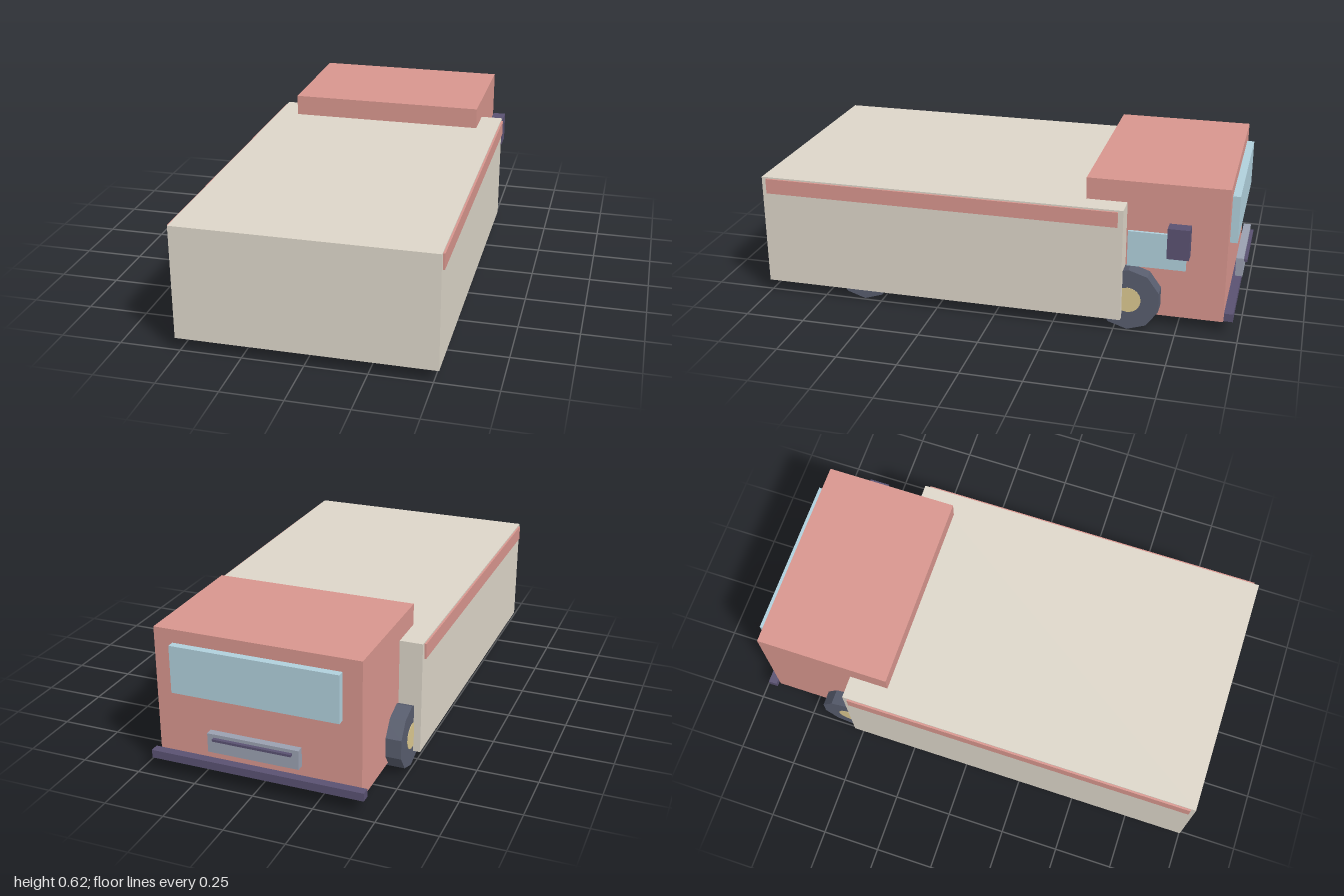
import * as THREE from 'three';

const material = (color) => new THREE.MeshStandardMaterial({ color, flatShading: true });
const red = material(0xd8968e);
const cream = material(0xddd6c9);
const glass = material(0xb0d0dc);
const rubber = material(0x585d6e);
const hubYellow = material(0xdcc890);
const dark = material(0x5a5272);
const metal = material(0x9aa0b0);

// Box given by its [min, max] range along each axis
function block(name, mat, [x0, x1], [y0, y1], [z0, z1]) {
  const mesh = new THREE.Mesh(new THREE.BoxGeometry(x1 - x0, y1 - y0, z1 - z0), mat);
  mesh.position.set((x0 + x1) / 2, (y0 + y1) / 2, (z0 + z1) / 2);
  mesh.name = name;
  return mesh;
}

// Disc with its axle along x
function disc(name, mat, radius, width, sides) {
  const geometry = new THREE.CylinderGeometry(radius, radius, width, sides).rotateZ(Math.PI / 2);
  if (sides === 10) geometry.rotateX(Math.PI / 2); // a flat side rests on the ground
  const mesh = new THREE.Mesh(geometry, mat);
  mesh.name = name;
  return mesh;
}

function wheel(name, side, z) {
  const group = new THREE.Group();
  group.name = name;
  const hub = disc('hub', hubYellow, 0.054, 0.03, 16);
  hub.position.x = side * 0.032;
  group.add(disc('tyre', rubber, 0.1315, 0.09, 10), hub);
  group.position.set(side * 0.445, 0.125, z);
  return group;
}

export function createModel() {
  const model = new THREE.Group();
  model.name = 'boxTruck';

  // Cargo box and cab
  model.add(
    block('cargoBox', cream, [-0.52, 0.52], [0.045, 0.52], [-0.531, 1]),
    block('cab', red, [-0.425, 0.425], [0.04, 0.61], [-0.935, -0.364]),
  );

  // Side stripes and wheels
  for (const side of [-1, 1]) {
    const label = side > 0 ? 'left' : 'right';
    const x = side > 0 ? [0.515, 0.528] : [-0.528, -0.515];
    model.add(block(`${label}Stripe`, red, x, [0.45, 0.514], [-0.51, 0.98]));
    model.add(wheel(`${label}CabWheel`, side, -0.554));
    model.add(wheel(`${label}CargoWheel`, side, 0.577));
  }

  // Cab end: windscreen, grille, bumper
  model.add(
    block('windscreen', glass, [-0.347, 0.347], [0.357, 0.555], [-0.966, -0.93]),
    block('grille', metal, [-0.19, 0.19], [0.142, 0.222], [-0.986, -0.955]),
    block('grilleSlot', dark, [-0.164, 0.164], [0.198, 0.208], [-1, -0.98]),
    block('bumper', dark, [-0.447, 0.447], [0.056, 0.09], [-0.975, -0.938]),
  );

  // Side window and mirror, on one side only
  model.add(
    block('sideWindow', glass, [0.437, 0.45], [0.258, 0.408], [-0.776, -0.54]),
    block('sideMirror', dark, [0.447, 0.503], [0.328, 0.456], [-0.792, -0.704]),
  );

  return model;
}
